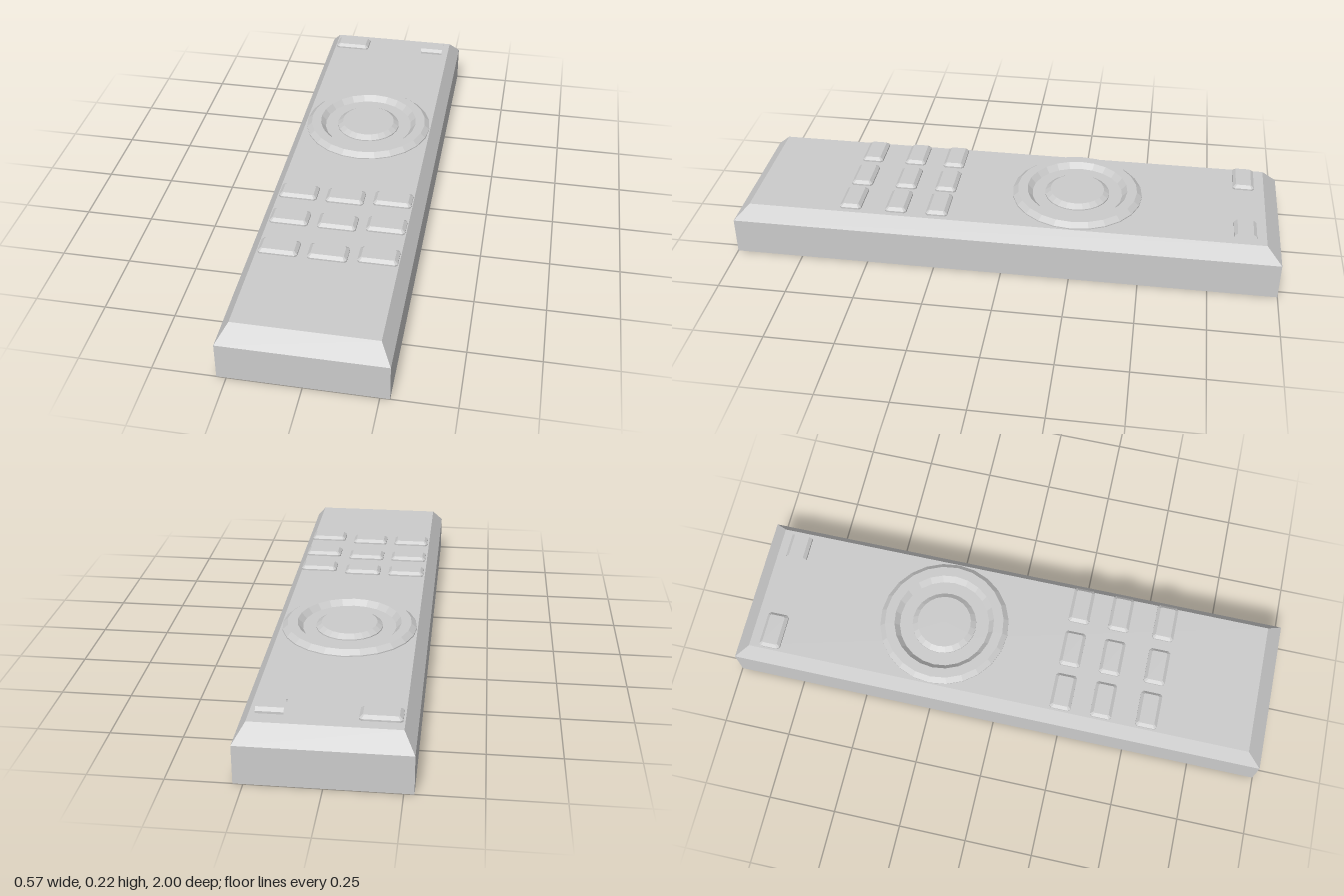
import * as THREE from 'three';

const material = new THREE.MeshStandardMaterial({ color: 0xcccccc, flatShading: true });
const thin = new THREE.MeshStandardMaterial({ color: 0xcccccc, flatShading: true, side: THREE.DoubleSide });

// Corners of a rectangle with cut corners, anticlockwise from above
function loop([w, d, y, cut]) {
  const x = w / 2, z = d / 2, c = cut;
  const points = c
    ? [[x - c, z], [x, z - c], [x, c - z], [x - c, -z], [c - x, -z], [-x, c - z], [-x, z - c], [c - x, z]]
    : [[x, z], [x, -z], [-x, -z], [-x, z]];
  return points.map(([px, pz]) => [px, y, pz]);
}

// Closed solid through rectangular sections [width, depth, y, cornerCut], bottom to top
function loft(sections) {
  const loops = sections.map(loop), n = loops[0].length, v = [];
  const tri = (a, b, c) => v.push(...a, ...b, ...c);
  for (let i = 0; i + 1 < loops.length; i++) {
    for (let j = 0; j < n; j++) {
      const k = (j + 1) % n, lo = loops[i], hi = loops[i + 1];
      tri(lo[j], lo[k], hi[k]);
      tri(lo[j], hi[k], hi[j]);
    }
  }
  const bottom = loops[0], top = loops[loops.length - 1];
  for (let j = 1; j + 1 < n; j++) {
    tri(top[0], top[j], top[j + 1]);
    tri(bottom[0], bottom[j + 1], bottom[j]);
  }
  const g = new THREE.BufferGeometry();
  g.setAttribute('position', new THREE.Float32BufferAttribute(v, 3));
  g.computeVertexNormals();
  return g;
}

function lathe(profile) {
  return new THREE.LatheGeometry(profile.map(([r, y]) => new THREE.Vector2(r, y)), 24);
}

export function createModel() {
  const model = new THREE.Group();
  const add = (name, geometry, x = 0, y = 0, z = 0, mat = material) => {
    const mesh = new THREE.Mesh(geometry, mat);
    mesh.name = name;
    mesh.position.set(x, y, z);
    model.add(mesh);
  };
  const deck = 0.193;

  // Casing with a bevelled upper edge
  add('casing', loft([[0.566, 2, 0, 0], [0.566, 2, 0.137, 0], [0.49, 1.888, deck, 0]]));

  // Navigation ring and centre button
  add('navigationRing', lathe([[0.242, deck], [0.242, 0.197], [0.223, 0.213], [0.187, 0.213], [0.168, deck]]), 0, 0, -0.25);
  add('centreButton', lathe([[0.12, deck], [0.12, 0.197], [0.1, 0.211], [0, 0.211]]), 0, 0, -0.25);

  // Keypad; the left-hand column sits slightly proud of the deck
  const key = loft([[0.124, 0.068, 0, 0.008], [0.137, 0.079, 0.002, 0.008], [0.137, 0.079, 0.008, 0.008], [0.114, 0.056, 0.018, 0.004]]);
  const columns = [[-0.17, deck], [0.001, deck], [0.174, 0.202]];
  for (const z of [0.242, 0.393, 0.562]) {
    for (const [x, y] of columns) add('key', key, x, y, z);
  }

  // Power key at the far end
  add('powerKey', key, -0.17, deck, -0.867);

  // Open-ended bridge key in the opposite corner
  const profile = [[0.04, 0], [0.04, 0.008], [0.028, 0.018], [-0.028, 0.018], [-0.04, 0.008], [-0.04, 0]];
  const bridge = new THREE.PlaneGeometry(0.09, 1, 1, profile.length - 1);
  const p = bridge.attributes.position;
  for (let i = 0; i < p.count; i++) {
    const [z, y] = profile[profile.length - 1 - Math.floor(i / 2)];
    p.setXYZ(i, p.getX(i), y, z);
  }
  bridge.computeVertexNormals();
  add('bridgeKey', bridge, 0.177, 0.202, -0.867, thin);

  return model;
}
